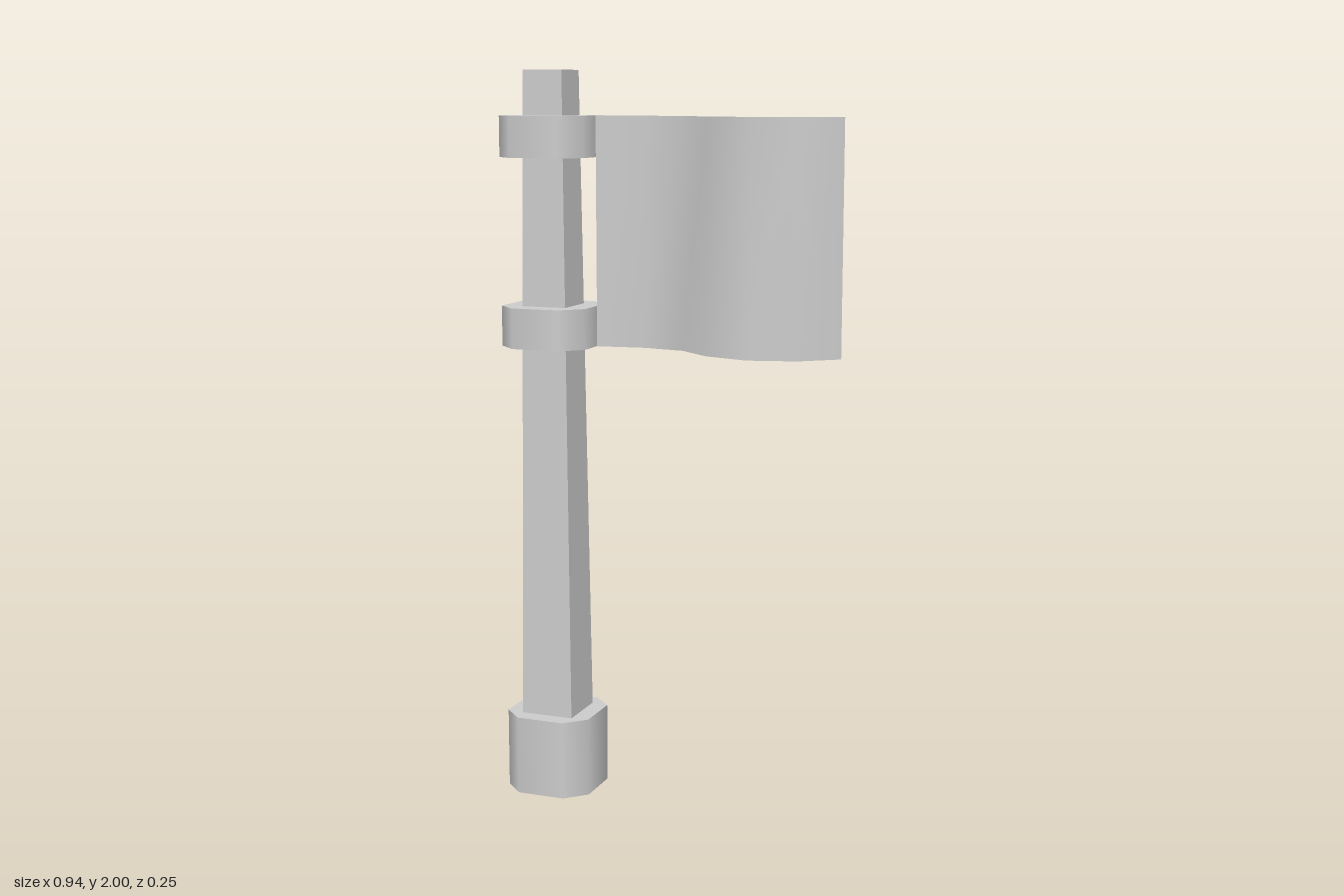
import * as THREE from 'three';

const POST_X = -0.347;

export function createModel() {
  const group = new THREE.Group();
  const grey = new THREE.MeshStandardMaterial({ color: 0xcccccc });
  const add = (name, geometry, material = grey) => {
    const mesh = new THREE.Mesh(geometry, material);
    mesh.name = name;
    group.add(mesh);
    return mesh;
  };

  // Chamfered-square collar: an 8-sided cylinder with its corners moved to the chamfer
  const collar = (name, bottom, top) => {
    const geometry = new THREE.CylinderGeometry(0.14, 0.14, top - bottom, 8, 1, false, Math.PI / 8);
    const p = geometry.attributes.position;
    const snap = (v) => Math.sign(v) * (Math.abs(v) > 0.09 ? 0.123 : 0.068);
    for (let i = 0; i < p.count; i++) {
      // Cap centres stay in place
      if (Math.hypot(p.getX(i), p.getZ(i)) < 0.01) continue;
      p.setX(i, snap(p.getX(i)));
      p.setZ(i, snap(p.getZ(i)));
    }
    add(name, geometry).position.set(POST_X, (bottom + top) / 2, 0);
  };

  collar('base', 0, 0.22);
  collar('lowerRing', 1.26, 1.37);
  collar('upperRing', 1.77, 1.88);

  // Square post, tapering upwards
  const postGeometry = new THREE.BoxGeometry(1, 1.99, 1);
  const pp = postGeometry.attributes.position;
  for (let i = 0; i < pp.count; i++) {
    const width = pp.getY(i) > 0 ? 0.113 : 0.154;
    pp.setX(i, pp.getX(i) * width);
    pp.setZ(i, pp.getZ(i) * width);
  }
  postGeometry.computeVertexNormals();
  add('post', postGeometry).position.set(POST_X, 1.005, 0);

  // Waving flag: a thin sheet bent along an S-shaped path (x, z)
  const wave = [
    [-0.223, -0.012], [-0.09, -0.028], [0.028, -0.008], [0.122, 0.07],
    [0.247, 0.108], [0.375, 0.076], [0.47, 0],
  ];
  const flagGeometry = new THREE.PlaneGeometry(1, 0.62, wave.length - 1, 1);
  const fp = flagGeometry.attributes.position;
  for (let i = 0; i < fp.count; i++) {
    const [x, z] = wave[i % wave.length];
    fp.setX(i, x);
    fp.setZ(i, z);
  }
  flagGeometry.computeVertexNormals();
  const cloth = new THREE.MeshStandardMaterial({ color: 0xcccccc, side: THREE.DoubleSide });
  add('flag', flagGeometry, cloth).position.y = 1.57;

  return group;
}
